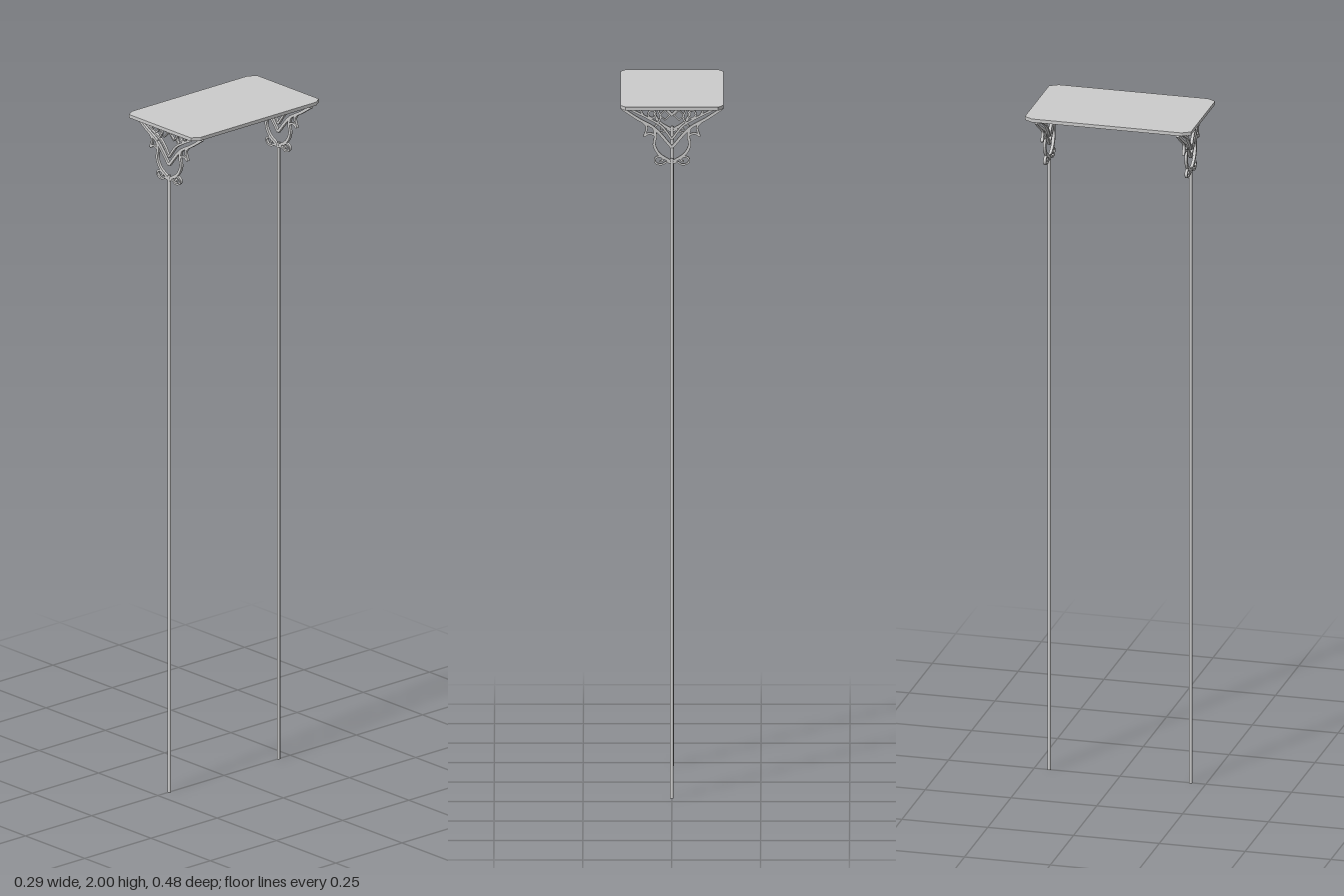
import * as THREE from 'three';

const material = new THREE.MeshStandardMaterial({ color: 0xcccccc });
const DEPTH = 0.008;

function mesh(name, geometry) {
  const m = new THREE.Mesh(geometry, material);
  m.name = name;
  return m;
}

// Flat bar that follows a curve in the xy plane
function bar(name, points, { width = 0.006, smooth = true, closed = false, steps = 16 } = {}) {
  const v = points.map(([x, y]) => new THREE.Vector3(x, y, 0));
  const path = smooth ? new THREE.CatmullRomCurve3(v, closed).getPoints(steps) : closed ? [...v, v[0]] : v;
  const n = path.length;
  const edge = (side) => path.map((p, i) => {
    const before = path[i > 0 ? i - 1 : closed ? n - 2 : 0];
    const after = path[i < n - 1 ? i + 1 : closed ? 1 : n - 1];
    const t = after.clone().sub(before).normalize();
    return new THREE.Vector2(p.x - t.y * side * width / 2, p.y + t.x * side * width / 2);
  });
  const a = edge(1), b = edge(-1);
  let shape;
  if (closed) {
    const aOuter = Math.abs(THREE.ShapeUtils.area(a)) > Math.abs(THREE.ShapeUtils.area(b));
    shape = new THREE.Shape((aOuter ? a : b).slice(0, -1));
    shape.holes.push(new THREE.Path((aOuter ? b : a).slice(0, -1)));
  } else {
    shape = new THREE.Shape([...a, ...b.reverse()]);
  }
  const geometry = new THREE.ExtrudeGeometry(shape, { depth: DEPTH, bevelEnabled: false });
  return mesh(name, geometry.translate(0, 0, -DEPTH / 2));
}

function ringPoints(cx, cy, r, count) {
  return Array.from({ length: count }, (_, i) => {
    const a = i / count * Math.PI * 2;
    return [cx + r * Math.cos(a), cy + r * Math.sin(a)];
  });
}

// Openwork bracket between post and top
function createBracket() {
  const bracket = new THREE.Group();
  bracket.name = 'bracket';
  const rail = mesh('bracketRail', new THREE.BoxGeometry(0.28, 0.006, DEPTH));
  rail.position.y = 1.988;
  bracket.add(rail);

  for (const s of [1, -1]) {
    const part = (name, points, options) =>
      bracket.add(bar(name, points.map(([x, y]) => [x * s, y]), options));

    // Outer brace and the nested V
    part('outerBrace', [[0.14, 1.988], [0.095, 1.958], [0.05, 1.932], [0, 1.876]], { width: 0.008 });
    part('innerBrace', [[0.115, 1.985], [0.06, 1.957], [0.03, 1.938], [0, 1.9]]);
    // Curved cheek with its pointed spur
    part('cheek', [[0.052, 1.936], [0.046, 1.91], [0.05, 1.885], [0.037, 1.858], [0.004, 1.836]], { width: 0.008 });
    part('spur', [[0.085, 1.953], [0.071, 1.935], [0.078, 1.908]]);
    part('spurFoot', [[0.078, 1.909], [0.064, 1.917], [0.048, 1.912]]);
    // Tracery below the rail
    part('smallRing', ringPoints(0.056, 1.972, 0.011, 8), { closed: true, width: 0.005 });
    part('diamond', ringPoints(0.02, 1.969, 0.014, 4), { closed: true, smooth: false, width: 0.005 });
    part('stay', [[0.09, 1.986], [0.078, 1.965]], { smooth: false, width: 0.005 });
    part('innerStay', [[0.04, 1.986], [0.032, 1.962], [0.04, 1.947]], { width: 0.005 });
    // Scroll at the foot
    const spiral = Array.from({ length: 13 }, (_, i) => {
      const a = Math.PI * 1.15 + i * 0.62, r = 0.018 - i * 0.0011;
      return [0.034 + r * 1.1 * Math.cos(a), 1.841 + r * 0.85 * Math.sin(a)];
    });
    part('scroll', [[0.002, 1.832], ...spiral], { steps: 32, width: 0.005 });
  }
  return bracket;
}

export function createModel() {
  const model = new THREE.Group();
  model.name = 'table';

  // Top with clipped corners
  const w = 0.145, l = 0.242, cx = 0.015, cz = 0.024;
  const outline = [
    [w, cz - l], [w, l - cz], [w - cx, l], [cx - w, l],
    [-w, l - cz], [-w, cz - l], [cx - w, -l], [w - cx, -l],
  ].map(([x, y]) => new THREE.Vector2(x, y));
  const top = new THREE.ExtrudeGeometry(new THREE.Shape(outline), { depth: 0.01, bevelEnabled: false });
  model.add(mesh('tableTop', top.rotateX(-Math.PI / 2).translate(0, 1.99, 0)));

  // A slender post and a bracket at each end
  for (const s of [1, -1]) {
    const end = new THREE.Group();
    end.name = s > 0 ? 'frontSupport' : 'backSupport';
    const post = mesh('post', new THREE.CylinderGeometry(0.005, 0.005, 1.845, 12));
    post.position.y = 1.845 / 2;
    end.add(post, createBracket());
    end.position.z = 0.206 * s;
    model.add(end);
  }
  return model;
}
